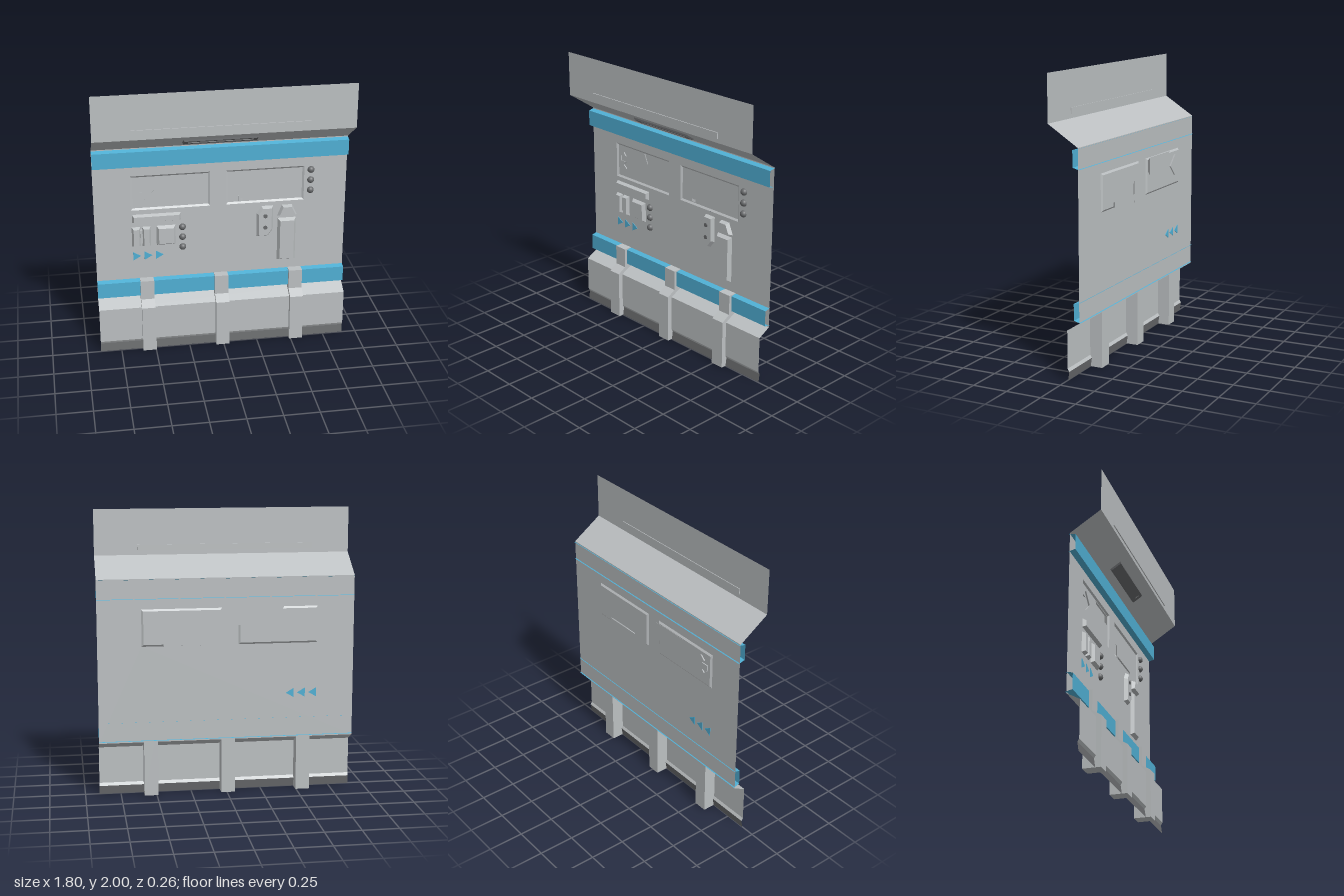
import * as THREE from 'three';

export function createModel() {
  const group = new THREE.Group();
  const paint = (name, color) => {
    const m = new THREE.MeshStandardMaterial({ color, side: THREE.DoubleSide });
    m.name = name;
    return m;
  };
  const grey = paint('panelGrey', 0xbcc0c2);
  const blue = paint('trimBlue', 0x50b0d5);
  const dark = paint('darkGrey', 0x696b6d);
  const WALL = -0.09, HALF = 0.9;

  const add = (name, geo, mat, parent = group) => {
    const mesh = new THREE.Mesh(geo, mat);
    mesh.name = name;
    parent.add(mesh);
    return mesh;
  };
  const polygon = (pts, holes = []) => {
    const shape = new THREE.Shape(pts.map(p => new THREE.Vector2(...p)));
    for (const h of holes) shape.holes.push(new THREE.Path(h.map(p => new THREE.Vector2(...p))));
    return shape;
  };
  const rect = (x0, x1, y0, y1) => [[x0, y0], [x1, y0], [x1, y1], [x0, y1]];

  // Flat-shaded geometry from a list of four-cornered faces
  const quads = list => {
    const pos = [];
    for (const [a, b, c, d] of list) pos.push(...a, ...b, ...c, ...a, ...c, ...d);
    const g = new THREE.BufferGeometry();
    g.setAttribute('position', new THREE.Float32BufferAttribute(pos, 3));
    g.computeVertexNormals();
    return g;
  };
  // Sheet running the full width, following a [z, y] profile upwards
  const sheet = (name, profile, mat) => add(name, quads(profile.slice(1).map(([z, y], i) => {
    const [z0, y0] = profile[i];
    return [[-HALF, y0, z0], [HALF, y0, z0], [HALF, y, z], [-HALF, y, z]];
  })), mat);

  // Inset (positive) or outset (negative) of a counter-clockwise outline
  const inset = (pts, d) => pts.map((p, i) => {
    const n = pts.length, a = pts[(i + n - 1) % n], b = pts[(i + 1) % n];
    const normal = (u, v) => {
      const l = Math.hypot(v[0] - u[0], v[1] - u[1]);
      return [-(v[1] - u[1]) / l, (v[0] - u[0]) / l];
    };
    const m = normal(a, p), q = normal(p, b);
    const k = d / (1 + m[0] * q[0] + m[1] * q[1]);
    return [p[0] + (m[0] + q[0]) * k, p[1] + (m[1] + q[1]) * k];
  });
  // Bevelled block or recess: sloping sides and a cap, optionally pierced
  const bevel = (name, pts, d, z0, z1, mat = grey, holes = []) => {
    const part = new THREE.Group(), cap = inset(pts, d);
    part.name = name;
    add(name + 'Sides', quads(pts.map((p, i) => {
      const j = (i + 1) % pts.length;
      return [[...p, z0], [...pts[j], z0], [...cap[j], z1], [...cap[i], z1]];
    })), mat, part);
    add(name + 'Face', new THREE.ShapeGeometry(polygon(cap, holes)).translate(0, 0, z1), mat, part);
    group.add(part);
    return part;
  };

  // Main wall with openings for the two screens
  const leftScreen = rect(-0.64, -0.08, 1.07, 1.33);
  const rightScreen = rect(0.035, 0.595, 1.07, 1.33);
  add('wall', new THREE.ShapeGeometry(
    polygon(rect(-HALF, HALF, 0.39, 1.54), [leftScreen, rightScreen])).translate(0, 0, WALL), grey);

  // Upper overhang and lower skirt
  sheet('overhang', [[WALL, 1.54], [0.125, 1.68], [0.125, 2]], grey);
  sheet('skirt', [[-0.012, 0.06], [0, 0.08], [0, 0.34], [WALL, 0.39]], grey);
  sheet('kickStrip', [[-0.003, 0], [-0.012, 0.06]], dark);

  // Blue trim bands
  for (const y of [0.4, 1.4]) {
    sheet('trimBand', [[-0.098, y], [-0.05, y + 0.012], [-0.05, y + 0.125], [-0.098, y + 0.135]], blue);
  }

  // Upright ribs
  for (const x of [-0.545, -0.007, 0.538]) {
    const side = polygon([[0.09, 0], [0.09, 0.535], [0.028, 0.535], [0.028, 0.39], [-0.035, 0.35], [-0.035, 0]]);
    const geo = new THREE.ExtrudeGeometry(side, { depth: 0.098, bevelEnabled: false });
    add('rib', geo.translate(0, 0, -0.049).rotateY(Math.PI / 2), grey).position.x = x;
  }

  // Strip on the overhang
  add('topStrip', new THREE.BoxGeometry(1.24, 0.042, 0.012), grey).position.set(-0.02, 1.73, 0.126);

  // Light fitting on the sloping underside
  const lamp = bevel('lamp', rect(-0.26, 0.26, -0.045, 0.045), 0.006, 0, 0.012, dark,
    [rect(-0.225, 0.225, -0.016, 0.016)]);
  add('lampPanel', new THREE.PlaneGeometry(0.46, 0.04).translate(0, 0, 0.004), dark, lamp);
  lamp.position.set(-0.02, 1.611, 0.02);
  lamp.rotation.x = Math.atan2(0.215, 0.14);

  // Screens with deeper pockets behind their faces
  const arrow = [[-0.605, 1.198], [-0.548, 1.198], [-0.575, 1.17], [-0.545, 1.145],
    [-0.467, 1.218], [-0.545, 1.292], [-0.575, 1.265], [-0.548, 1.238], [-0.605, 1.238]];
  const tab = [[-0.318, 1.242], [-0.098, 1.242], [-0.098, 1.312], [-0.348, 1.312]];
  const corner = rect(0.053, 0.128, 1.088, 1.185);
  const slot = rect(0.14, 0.435, 1.088, 1.108);
  bevel('leftScreen', leftScreen, 0.013, WALL, -0.1, grey, [arrow, tab]);
  bevel('rightScreen', rightScreen, 0.013, WALL, -0.1, grey, [corner, slot]);
  bevel('arrowPocket', arrow, -0.004, -0.1, -0.112);
  bevel('tabPocket', tab, -0.03, -0.1, -0.132);
  bevel('cornerPocket', corner, -0.03, -0.1, -0.12);
  bevel('slotPocket', slot, -0.012, -0.1, -0.12);

  // Raised buttons and covers
  bevel('barButton', rect(-0.635, -0.29, 0.975, 1.037), 0.012, WALL, -0.065);
  bevel('splitButton', rect(-0.64, -0.578, 0.79, 0.94), 0.012, WALL, -0.065);
  bevel('splitButton', rect(-0.567, -0.505, 0.79, 0.94), 0.012, WALL, -0.065);
  bevel('splitButtonBridge', rect(-0.585, -0.56, 0.81, 0.92), 0.004, WALL, -0.08);
  bevel('squareButton', rect(-0.465, -0.328, 0.79, 0.94), 0.016, WALL, -0.065);
  bevel('tallCover', rect(0.408, 0.542, 0.605, 0.938), 0.016, WALL, -0.062);
  bevel('taperedCover', [[0.405, 0.958], [0.548, 0.958], [0.512, 1.04], [0.438, 1.04]], 0.01, WALL, -0.06);
  bevel('socketPlate', [[0.255, 0.805], [0.338, 0.805], [0.375, 0.855], [0.375, 1.04],
    [0.29, 1.04], [0.255, 0.985]], 0.014, WALL, -0.065);
  for (const y of [0.88, 0.97]) {
    add('socket', new THREE.CylinderGeometry(0.015, 0.015, 0.008, 12).rotateX(Math.PI / 2), dark)
      .position.set(0.315, y, -0.064);
  }

  // Domed knobs
  const dome = new THREE.SphereGeometry(0.025, 16, 8, 0, Math.PI * 2, 0, Math.PI / 2).rotateX(Math.PI / 2);
  for (const [x, top] of [[0.642, 1.3], [-0.279, 0.92]]) {
    for (let i = 0; i < 3; i++) add('knob', dome, dark).position.set(x, top - i * 0.078, WALL);
  }

  // Blue triangle markers, set through the wall
  for (let i = 0; i < 3; i++) {
    const x = -0.635 + i * 0.081;
    const tri = polygon([[x, 0.68], [x + 0.055, 0.712], [x, 0.745]]);
    add('marker', new THREE.ExtrudeGeometry(tri, { depth: 0.008, bevelEnabled: false })
      .translate(0, 0, WALL - 0.004), blue);
  }
  return group;
}
